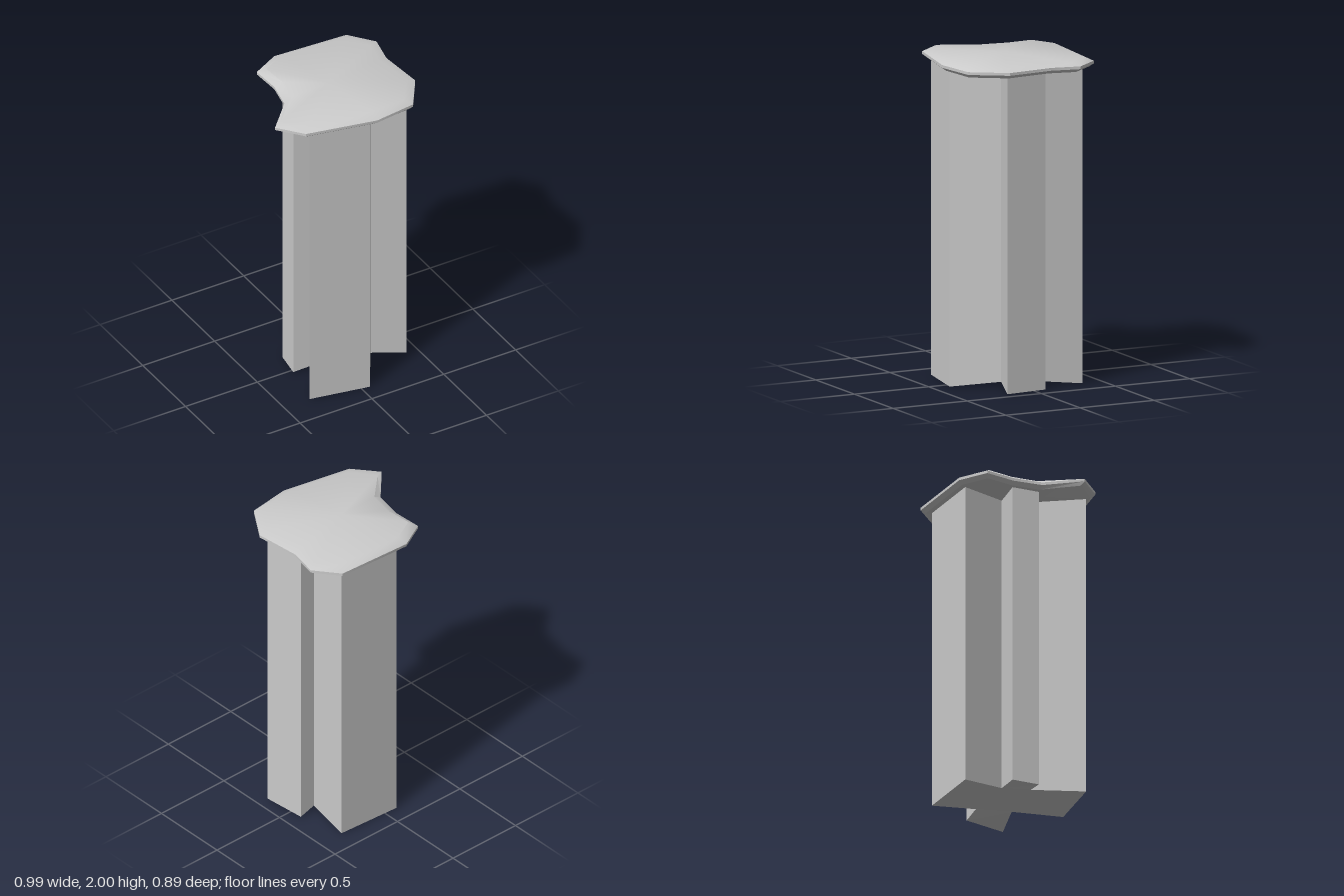
import * as THREE from 'three';
import { toCreasedNormals } from 'three/addons/utils/BufferGeometryUtils.js';

const material = new THREE.MeshStandardMaterial({ color: 0xcccccc });

// Cross-shaped plan of the shaft: [x, z, height of the underside]
const NOTCH = 0.033;
const shaftPlan = [
  [-0.325, 0.313, 0], [0.055, 0.386, 0], [0.214, 0.122, NOTCH],
  [0.425, 0.19, 0], [0.4, -0.08, 0], [0.295, -0.08, NOTCH],
  [0.33, -0.367, 0], [-0.09, -0.392, 0], [-0.04, -0.105, NOTCH],
  [-0.237, -0.15, 0], [-0.262, 0.02, 0], [-0.11, 0.056, NOTCH],
];

// Irregular plan of the cap: [rim x, rim z, top x, top z]
const capPlan = [
  [-0.115, -0.45, -0.095, -0.398], [0.37, -0.422, 0.325, -0.375],
  [0.49, -0.27, 0.43, -0.237], [0.452, -0.09, 0.395, -0.08],
  [0.48, 0.2, 0.425, 0.19], [0.34, 0.41, 0.295, 0.375],
  [0.07, 0.445, 0.06, 0.387], [-0.37, 0.35, -0.325, 0.305],
  [-0.495, 0.198, -0.437, 0.17], [-0.318, 0.01, -0.265, 0.005],
  [-0.28, -0.17, -0.235, -0.155], [-0.29, -0.36, -0.245, -0.322],
];

// Straight shaft whose underside lifts at the inner corners
function shaftGeometry() {
  const shape = new THREE.Shape(shaftPlan.map(([x, z]) => new THREE.Vector2(x, -z)));
  const geometry = new THREE.ExtrudeGeometry(shape, { depth: 1.94, bevelEnabled: false });
  geometry.rotateX(-Math.PI / 2);
  const pos = geometry.attributes.position;
  for (let i = 0; i < pos.count; i++) {
    if (pos.getY(i) > 0.5) continue;
    const corner = shaftPlan.find(([x, z]) => Math.hypot(x - pos.getX(i), z - pos.getZ(i)) < 0.002);
    if (corner) pos.setY(i, corner[2]);
  }
  geometry.computeVertexNormals();
  return geometry;
}

// Slab with bevelled edges, lofted through rings from top to bottom
function capGeometry() {
  const n = capPlan.length;
  const rings = [
    { inset: 1, y: (x) => 1.998 - 0.09 * Math.max(0, Math.abs(x) - 0.25) },
    { inset: 0, y: () => 1.968 },
    { inset: 0, y: () => 1.951 },
    { inset: 0.5, y: () => 1.93 },
  ];
  const positions = [];
  const indices = [];
  for (const { inset, y } of rings) {
    for (const [rx, rz, tx, tz] of capPlan) {
      const x = THREE.MathUtils.lerp(rx, tx, inset);
      positions.push(x, y(x), THREE.MathUtils.lerp(rz, tz, inset));
    }
  }
  const topCentre = rings.length * n;
  const bottomCentre = topCentre + 1;
  positions.push(0, 2, 0, 0, 1.93, 0);
  const last = (rings.length - 1) * n;
  for (let i = 0; i < n; i++) {
    const j = (i + 1) % n;
    indices.push(topCentre, j, i, bottomCentre, last + i, last + j);
    for (let r = 0; r < last; r += n) {
      indices.push(r + i, r + j, r + n + j, r + i, r + n + j, r + n + i);
    }
  }
  const geometry = new THREE.BufferGeometry();
  geometry.setAttribute('position', new THREE.Float32BufferAttribute(positions, 3));
  geometry.setIndex(indices);
  return toCreasedNormals(geometry, 0.6);
}

export function createModel() {
  const model = new THREE.Group();
  model.name = 'cappedPillar';
  const add = (name, geometry) => {
    const mesh = new THREE.Mesh(geometry, material);
    mesh.name = name;
    model.add(mesh);
  };
  add('shaft', shaftGeometry());
  add('cap', capGeometry());
  return model;
}
